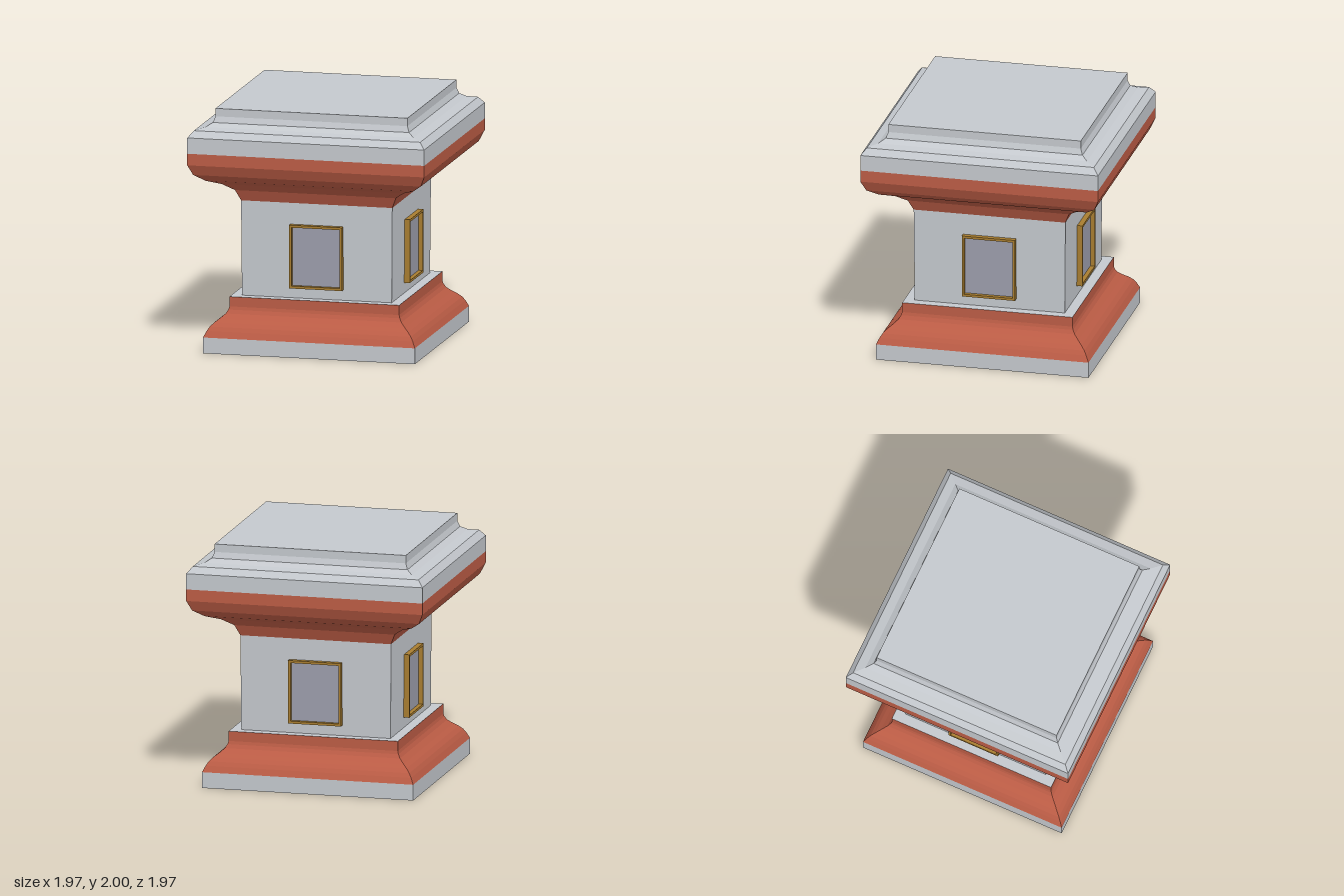
import * as THREE from 'three';

const mat = (name, color, flatShading = true) => {
  const m = new THREE.MeshStandardMaterial({ color, flatShading });
  m.name = name;
  return m;
};

export function createModel() {
  const stone = mat('pale stone', 0xc4c8cd);
  const red = mat('red clay', 0xbb5c45);
  const gold = mat('gold', 0xa87d30);
  const slate = mat('slate panel', 0x9c9dab);
  const group = new THREE.Group();

  // Square moulding: sweeps a [half width, height] profile round four sides
  const moulding = (name, material, profile) => {
    const pts = profile.map(([w, y]) => new THREE.Vector2(w * Math.SQRT2, y));
    const geo = new THREE.LatheGeometry(pts, 4, Math.PI / 4);
    const mesh = new THREE.Mesh(geo, material);
    mesh.name = name;
    group.add(mesh);
  };

  moulding('plinth', stone, [[0, 0], [0.88, 0], [0.88, 0.13]]);
  moulding('baseMoulding', red, [
    [0.88, 0.13], [0.856, 0.18], [0.835, 0.213], [0.805, 0.243], [0.77, 0.27],
    [0.73, 0.305], [0.712, 0.335], [0.705, 0.36], [0.705, 0.44]]);
  moulding('baseLedge', stone, [[0.705, 0.44], [0.622, 0.44]]);
  moulding('shaft', stone, [[0.622, 0.44], [0.628, 1.22]]);
  moulding('capitalMoulding', red, [
    [0.628, 1.22], [0.668, 1.31], [0.755, 1.372], [0.862, 1.415],
    [0.945, 1.475], [0.984, 1.56], [0.984, 1.655]]);
  moulding('cornice', stone, [
    [0.984, 1.655], [0.984, 1.785], [0.94, 1.838], [0.865, 1.856],
    [0.815, 1.887], [0.797, 1.935], [0.797, 2], [0, 2]]);

  // Framed panel, repeated on all four sides
  const w = 0.22, h = 0.26, rim = 0.02;
  const rect = (Type, x, y) => new Type([
    new THREE.Vector2(-x, -y), new THREE.Vector2(x, -y),
    new THREE.Vector2(x, y), new THREE.Vector2(-x, y)]);
  const frameShape = rect(THREE.Shape, w, h);
  frameShape.holes.push(rect(THREE.Path, w - rim, h - rim));
  const frameGeo = new THREE.ExtrudeGeometry(frameShape, { depth: 0.05, bevelEnabled: false });
  const panelGeo = new THREE.BoxGeometry(2 * (w - rim), 2 * (h - rim), 0.009);

  ['front', 'left', 'back', 'right'].forEach((side, i) => {
    const unit = new THREE.Group();
    unit.name = side + 'Panel';
    const frame = new THREE.Mesh(frameGeo, gold);
    frame.name = 'frame';
    frame.position.set(0, 0.785, 0.62);
    const panel = new THREE.Mesh(panelGeo, slate);
    panel.name = 'panel';
    panel.position.set(0, 0.785, 0.63);
    unit.add(frame, panel);
    unit.rotation.y = i * Math.PI / 2;
    group.add(unit);
  });

  return group;
}
